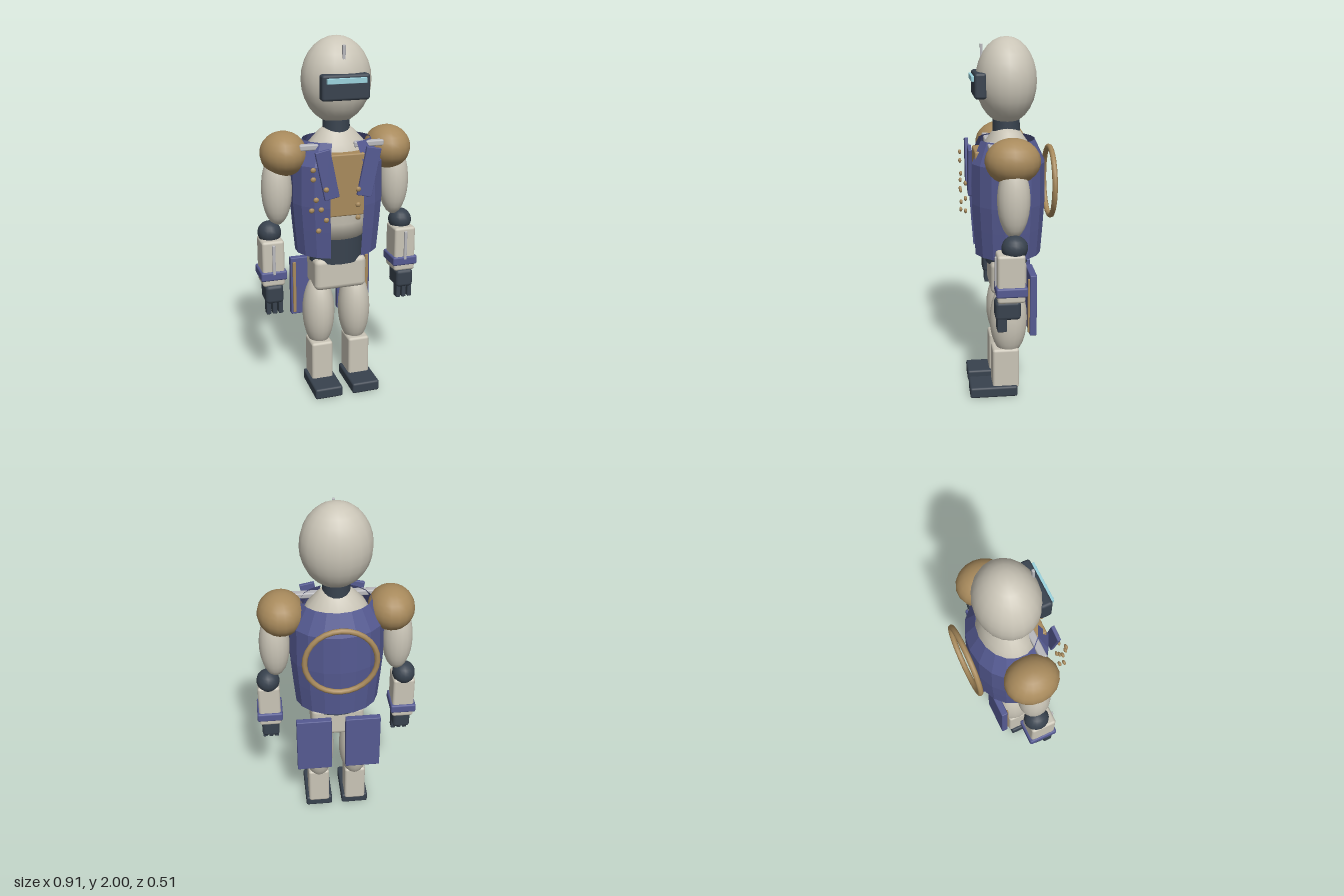
import * as THREE from 'three';
import { RoundedBoxGeometry } from 'three/addons/geometries/RoundedBoxGeometry.js';

const mat = (color, extra = {}) => new THREE.MeshStandardMaterial({ color, ...extra });

export function createModel() {
  const root = new THREE.Group();
  const shell = mat(0xcac5b7), dark = mat(0x38424e), tan = mat(0xa88a5c);
  const cloth = mat(0x555a92), metal = mat(0xb8b8bc), glow = mat(0x9bd3de);
  const coat = mat(0x555a92, { side: THREE.DoubleSide, flatShading: true });

  const add = (parent, name, geo, material, x, y, z) => {
    const mesh = new THREE.Mesh(geo, material);
    mesh.name = name;
    mesh.position.set(x, y, z);
    parent.add(mesh);
    return mesh;
  };
  const ball = (parent, name, m, x, y, z, rx, ry, rz, seg = 18) =>
    add(parent, name, new THREE.SphereGeometry(1, seg, Math.round(seg * 0.7)).scale(rx, ry, rz), m, x, y, z);
  const box = (parent, name, m, x, y, z, w, h, d, r = 0.012) =>
    add(parent, name, new RoundedBoxGeometry(w, h, d, 2, Math.min(r, w * 0.45, h * 0.45, d * 0.45)), m, x, y, z);
  const profile = (pairs) => pairs.map(([r, y]) => new THREE.Vector2(r, y));

  // Head, visor and antenna
  const head = new THREE.Group();
  head.name = 'head';
  root.add(head);
  ball(head, 'skull', shell, 0, 1.77, 0, 0.19, 0.23, 0.165, 20);
  box(head, 'visor', dark, 0, 1.752, 0.147, 0.26, 0.135, 0.065, 0.015);
  box(head, 'visorLight', glow, 0, 1.788, 0.184, 0.215, 0.028, 0.02, 0.002);
  box(head, 'antenna', metal, 0, 1.925, 0.132, 0.016, 0.075, 0.014, 0.003);
  add(root, 'neck', new THREE.CylinderGeometry(0.072, 0.076, 0.1, 18), dark, 0, 1.54, 0);

  // Torso, waist and pelvis
  const torso = new THREE.LatheGeometry(profile([
    [0, 0.91], [0.155, 0.91], [0.17, 1.0], [0.205, 1.2], [0.205, 1.34], [0.155, 1.44], [0.1, 1.5], [0.07, 1.525], [0, 1.525],
  ]), 20).scale(1, 1, 0.76);
  add(root, 'torso', torso, shell, 0, 0, 0);
  add(root, 'waist', new THREE.CylinderGeometry(0.155, 0.155, 0.15, 20).scale(1, 1, 0.76), dark, 0, 0.84, 0);
  box(root, 'pelvis', shell, 0, 0.7, 0, 0.3, 0.185, 0.2, 0.03);
  box(root, 'chestPlate', tan, 0, 1.235, 0.13, 0.21, 0.34, 0.1, 0.008);

  // Open-fronted vest
  const gap = 0.37;
  const vest = new THREE.LatheGeometry(profile([
    [0.234, 0.83], [0.248, 0.98], [0.259, 1.12], [0.257, 1.34], [0.188, 1.46],
  ]), 16, gap, Math.PI * 2 - gap * 2).scale(1, 1, 0.82);
  add(root, 'vest', vest, coat, 0, 0, 0);

  // Ring on the back
  add(root, 'backRing', new THREE.TorusGeometry(0.191, 0.015, 8, 28), tan, 0, 1.215, -0.24);

  // Vest studs
  const studs = [
    [-0.2, 1.35], [-0.2, 1.3], [-0.13, 1.24], [-0.185, 1.19], [-0.158, 1.135], [-0.21, 1.135], [-0.13, 1.075], [-0.173, 1.02],
    [0.05, 1.225], [0.05, 1.14], [0.05, 1.07],
  ];
  for (const [x, y] of studs) ball(root, 'stud', tan, x, y, x < 0 ? 0.243 : 0.229, 0.015, 0.014, 0.009, 10);

  for (const s of [-1, 1]) {
    const side = s > 0 ? 'left' : 'right';

    // Lapel, collar bar and rear coat tail
    const lapel = box(root, side + 'Lapel', cloth, s * 0.115, 1.31, 0.21, 0.082, 0.265, 0.02, 0.004);
    lapel.rotation.z = -s * 0.2;
    box(root, side + 'CollarBar', metal, s * 0.15, 1.437, 0.095, 0.17, 0.032, 0.04, 0.008);
    box(root, side + 'CoatTail', cloth, s * 0.14, 0.57, -0.123, 0.2, 0.35, 0.038, 0.005);
    box(root, side + 'TailTrim', tan, s * 0.22, 0.565, -0.101, 0.018, 0.31, 0.014, 0.003);

    // Arm
    const arm = new THREE.Group();
    arm.name = side + 'Arm';
    root.add(arm);
    ball(arm, 'shoulderPad', tan, s * 0.295, 1.39, 0, 0.127, 0.12, 0.145, 18);
    ball(arm, 'upperArm', shell, s * 0.337, 1.195, 0, 0.084, 0.2, 0.086);
    ball(arm, 'elbow', dark, s * 0.383, 0.955, 0, 0.065, 0.065, 0.07, 16);
    box(arm, 'forearm', shell, s * 0.383, 0.8, 0.022, 0.124, 0.26, 0.145, 0.015);
    box(arm, 'forearmRod', metal, s * 0.383, 0.825, 0.097, 0.017, 0.17, 0.014, 0.004);
    box(arm, 'cuff', cloth, s * 0.383, 0.732, 0.02, 0.145, 0.052, 0.165, 0.01);
    box(arm, 'hand', dark, s * 0.383, 0.625, 0.038, 0.1, 0.105, 0.135, 0.02);
    for (let i = -1; i <= 1; i++)
      box(arm, 'finger', dark, s * 0.383 + i * 0.034, 0.55, 0.07, 0.025, 0.085, 0.05, 0.005);

    // Leg
    const leg = new THREE.Group();
    leg.name = side + 'Leg';
    root.add(leg);
    ball(leg, 'thigh', shell, s * 0.107, 0.45, 0, 0.091, 0.22, 0.106, 20);
    box(leg, 'shin', shell, s * 0.11, 0.165, 0.02, 0.124, 0.24, 0.15, 0.015);
    box(leg, 'foot', dark, s * 0.11, 0.032, 0.09, 0.16, 0.063, 0.27, 0.012);
  }
  return root;
}
